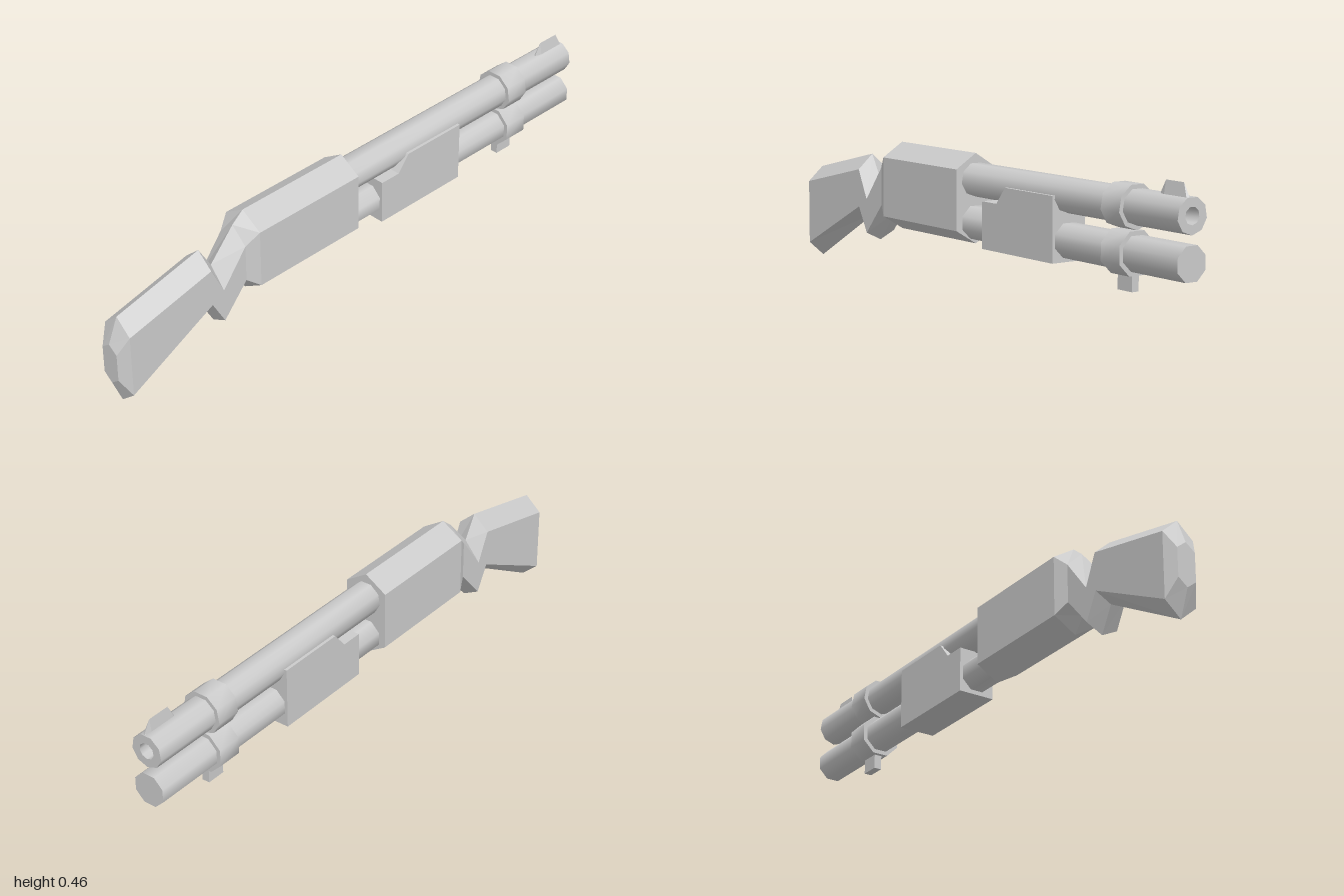
import * as THREE from 'three';
import { toCreasedNormals } from 'three/addons/utils/BufferGeometryUtils.js';

const smooth = new THREE.MeshStandardMaterial({ color: 0xcccccc });
const flat = new THREE.MeshStandardMaterial({ color: 0xcccccc, flatShading: true });

// Skins closed rings of [y, z] points placed along x, with a cap at both ends.
function loft(sections) {
  const n = sections[0].ring.length;
  const positions = [];
  const index = [];
  for (const { x, ring } of sections) for (const [y, z] of ring) positions.push(x, y, z);
  for (let i = 0; i < sections.length - 1; i++) {
    for (let j = 0; j < n; j++) {
      const a = i * n + j, b = i * n + (j + 1) % n;
      index.push(a, b, b + n, a, b + n, a + n);
    }
  }
  const last = (sections.length - 1) * n;
  for (let j = 1; j < n - 1; j++) {
    index.push(0, j + 1, j);
    index.push(last, last + j, last + j + 1);
  }
  const geometry = new THREE.BufferGeometry();
  geometry.setAttribute('position', new THREE.Float32BufferAttribute(positions, 3));
  geometry.setIndex(index);
  const result = geometry.toNonIndexed();
  result.computeVertexNormals();
  return result;
}

// Faceted round part lying along x, from a profile of [radius, x] points.
function turned(profile, sides, phase, y) {
  const points = profile.map(([r, x]) => new THREE.Vector2(r, x));
  const geometry = new THREE.LatheGeometry(points, sides, phase).rotateZ(-Math.PI / 2);
  return toCreasedNormals(geometry, 0.85).translate(0, y, 0);
}

const rod = (r, x0, x1) => [[0, x0], [r, x0], [r, x1], [0, x1]];

export function createModel() {
  const group = new THREE.Group();
  const add = (name, geometry, material = smooth) => {
    const mesh = new THREE.Mesh(geometry, material);
    mesh.name = name;
    group.add(mesh);
  };

  // Stock and receiver: x, ridge, upper edge, lower edge, keel, half width
  const hexSections = (rows) => rows.map(([x, ridge, upper, lower, keel, w]) => ({
    x, ring: [[ridge, 0], [upper, w], [lower, w], [keel, 0], [lower, -w], [upper, -w]],
  }));
  add('stockAndReceiver', loft(hexSections([
    [-1.0, 0.235, 0.21, 0.115, 0.09, 0.032],
    [-0.965, 0.32, 0.27, 0.052, 0.003, 0.056],
    [-0.642, 0.393, 0.343, 0.215, 0.185, 0.056],
    [-0.595, 0.313, 0.245, 0.13, 0.102, 0.056],
    [-0.503, 0.415, 0.362, 0.235, 0.205, 0.056],
    [-0.46, 0.45, 0.402, 0.203, 0.157, 0.076],
    [-0.04, 0.45, 0.402, 0.203, 0.157, 0.076],
  ])), flat);

  // Barrel with an open bore, and the tube below it
  const barrelY = 0.365, tubeY = 0.227;
  add('barrel', turned([[0, -0.06], [0.056, -0.06], [0.056, 1], [0.027, 1], [0.027, 0.88], [0, 0.88]],
    9, Math.PI / 2, barrelY));
  add('lowerTube', turned(rod(0.057, -0.06, 1), 8, Math.PI / 8, tubeY));

  // Clamp rings and the small lug beneath them
  add('upperClamp', turned(rod(0.07, 0.675, 0.76), 9, Math.PI / 2, barrelY));
  add('lowerClamp', turned(rod(0.072, 0.675, 0.76), 8, Math.PI / 8, tubeY));
  add('clampLug', new THREE.BoxGeometry(0.065, 0.06, 0.026).translate(0.722, 0.142, 0));

  // Sliding forend with a stepped rear top
  const outline = [[0.08, 0.16], [0.44, 0.16], [0.44, 0.367], [0.2, 0.367], [0.155, 0.312], [0.08, 0.312]];
  const shape = new THREE.Shape(outline.map(([x, y]) => new THREE.Vector2(x, y)));
  add('forend', new THREE.ExtrudeGeometry(shape, { depth: 0.126, bevelEnabled: false })
    .translate(0, 0, -0.063));

  // Thin wedge sight near the muzzle
  const sight = [[0.872, 0.42], [0.895, 0.459], [0.972, 0.459], [0.995, 0.42]];
  add('frontSight', loft(sight.map(([x, top]) => ({
    x, ring: [[top, 0.008], [0.41, 0.017], [0.41, 0.001]],
  }))), flat);

  return group;
}
